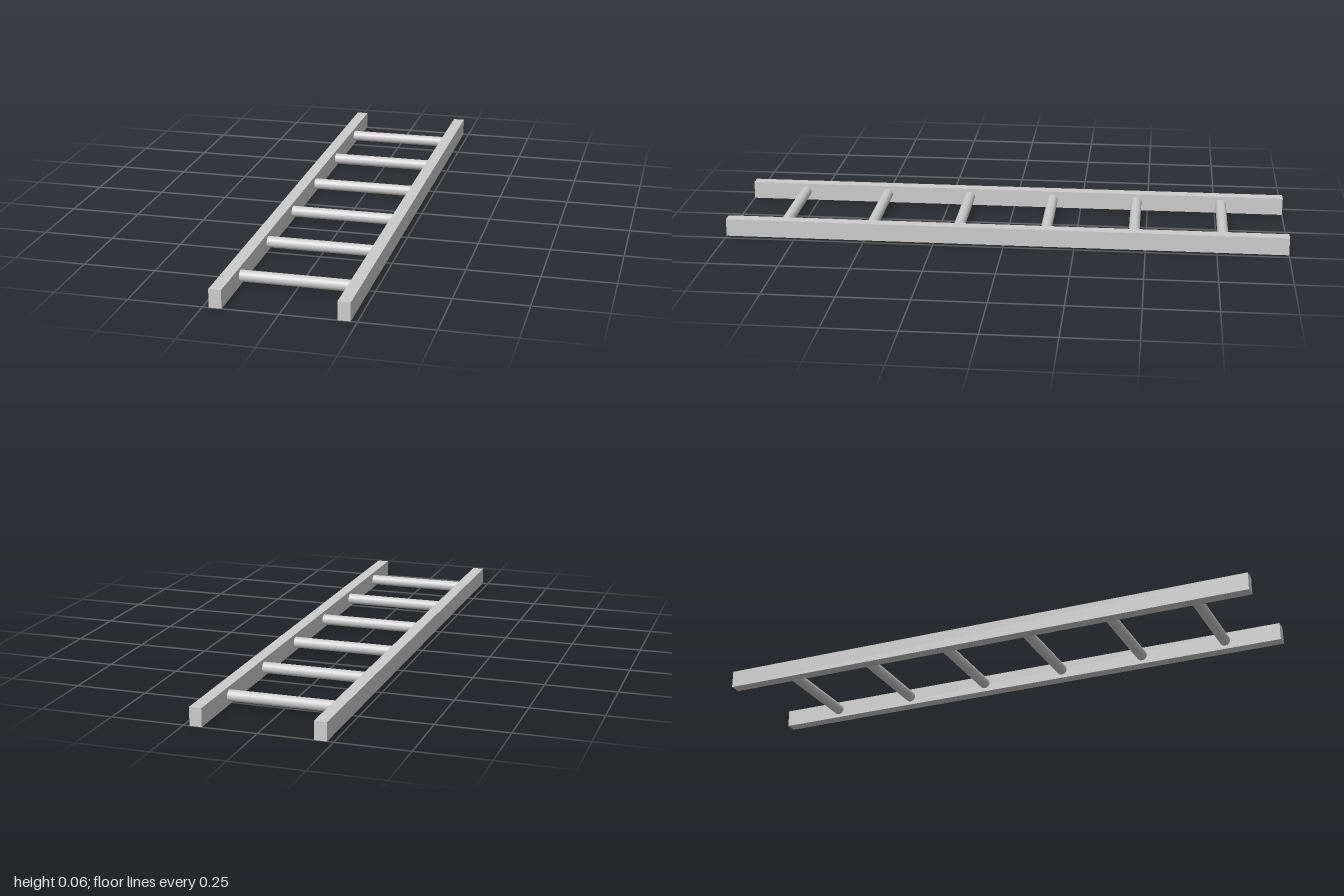
import * as THREE from 'three';

export function createModel() {
  const model = new THREE.Group();
  model.name = 'ladder';
  const material = new THREE.MeshStandardMaterial({ color: 0xcccccc });

  const railWidth = 0.042, railHeight = 0.063, railLength = 2;
  const railX = 0.208;
  const rungRadius = 0.0195, rungCount = 6, rungSpacing = 0.314, firstRungZ = -0.772;

  // Two long side rails lying flat
  const railGeometry = new THREE.BoxGeometry(railWidth, railHeight, railLength);
  for (const [name, side] of [['leftRail', 1], ['rightRail', -1]]) {
    const rail = new THREE.Mesh(railGeometry, material);
    rail.name = name;
    rail.position.set(side * railX, railHeight / 2, 0);
    model.add(rail);
  }

  // Round rungs, their ends set just inside the rails
  const rungLength = 2 * railX - railWidth + 0.004;
  const rungGeometry = new THREE.CylinderGeometry(rungRadius, rungRadius, rungLength, 32);
  rungGeometry.rotateZ(Math.PI / 2);
  for (let i = 0; i < rungCount; i++) {
    const rung = new THREE.Mesh(rungGeometry, material);
    rung.name = `rung${i + 1}`;
    rung.position.set(0, 0.0325, firstRungZ + i * rungSpacing);
    model.add(rung);
  }

  return model;
}
